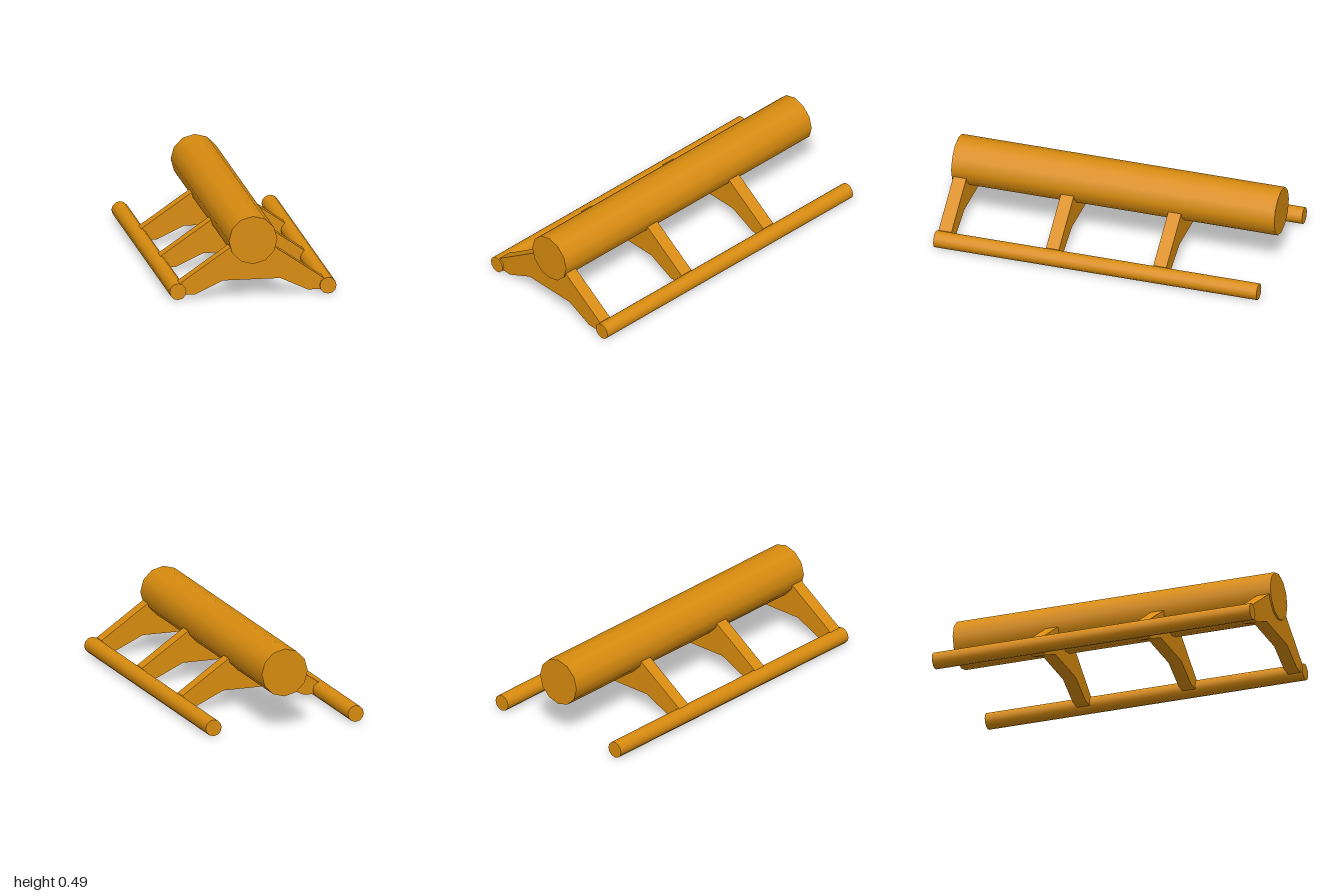
import * as THREE from 'three';

const material = new THREE.MeshStandardMaterial({ color: 0xd98c0f });

// Twelve-sided bar running the full length along z
function bar(name, radius, x, y) {
  const geometry = new THREE.CylinderGeometry(radius, radius, 2, 12);
  geometry.rotateX(Math.PI / 2);
  const mesh = new THREE.Mesh(geometry, material);
  mesh.name = name;
  mesh.position.set(x, y, 0);
  return mesh;
}

// Arched crosspiece outline, mirrored about its own centre line
function bracketGeometry() {
  const half = [[0.172, 0.105], [0.338, 0.028], [0.432, 0.028], [0.432, 0.096], [0.118, 0.311]];
  const points = [
    ...half.map(([x, y]) => new THREE.Vector2(x, y)),
    ...half.map(([x, y]) => new THREE.Vector2(-x, y)).reverse(),
  ];
  return new THREE.ExtrudeGeometry(new THREE.Shape(points), { depth: 0.08, bevelEnabled: false });
}

export function createModel() {
  const model = new THREE.Group();
  model.name = 'railFrame';

  // Thick central beam and the two ground rails
  model.add(bar('centralBeam', 0.145, 0, 0.345));
  model.add(bar('leftRail', 0.05, 0.45, 0.05));
  model.add(bar('rightRail', 0.05, -0.45, 0.05));

  // Three crosspieces, sitting slightly to the right and toward the front
  const geometry = bracketGeometry();
  [0.91, 0.245, -0.42].forEach((z, i) => {
    const bracket = new THREE.Mesh(geometry, material);
    bracket.name = `crossBracket${i + 1}`;
    bracket.position.set(-0.0075, 0, z);
    model.add(bracket);
  });
  return model;
}
